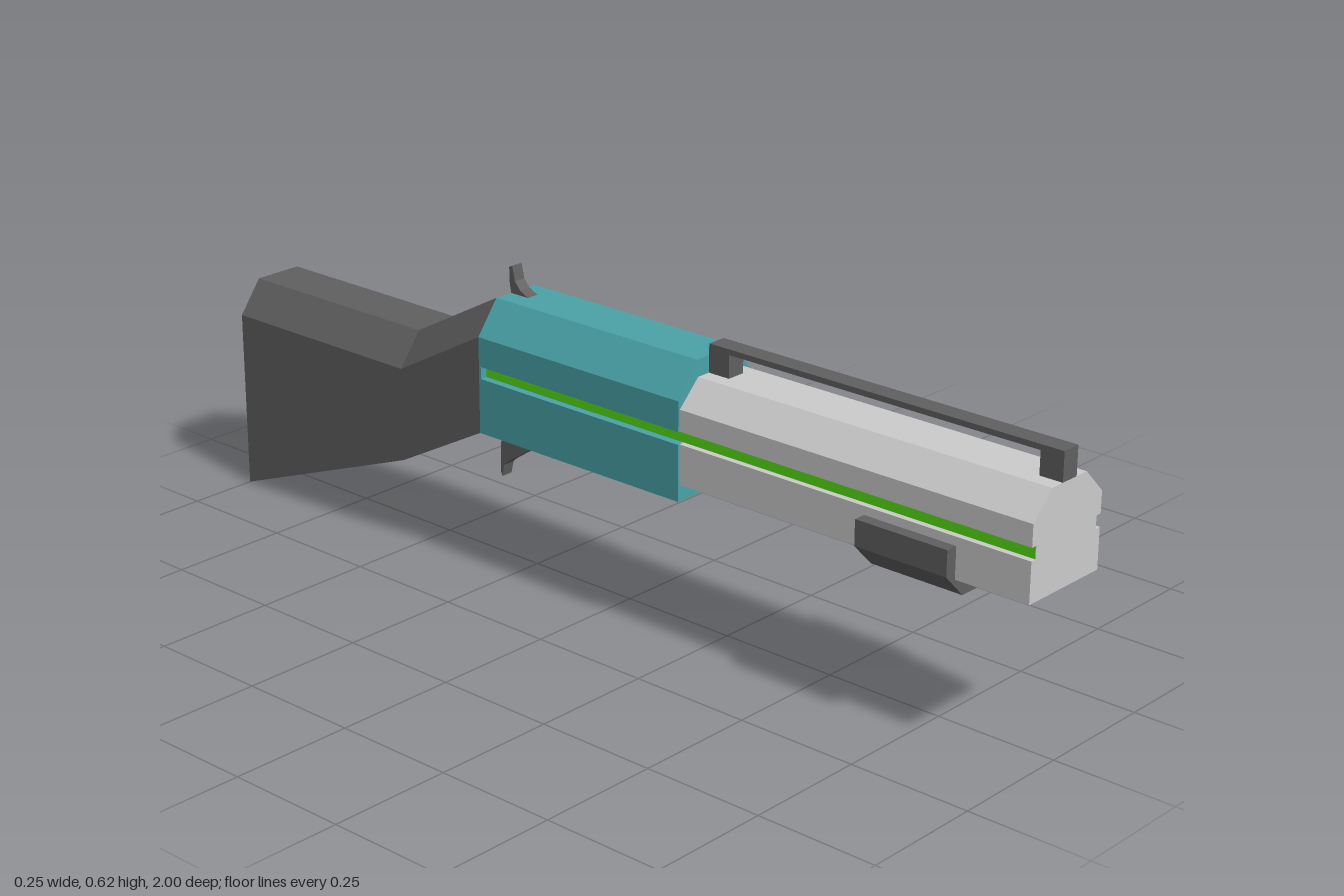
import * as THREE from 'three';

const material = (color) => new THREE.MeshStandardMaterial({ color, flatShading: true });

export function createModel() {
  const model = new THREE.Group();
  const grey = material(0xcccccc);
  const dark = material(0x606060);
  const teal = material(0x4aa3a8);
  const green = material(0x55e010);

  const add = (name, geometry, mat) => {
    const mesh = new THREE.Mesh(geometry, mat);
    mesh.name = name;
    model.add(mesh);
    return mesh;
  };
  const box = (name, mat, w, [y0, y1], [z0, z1], x = 0) =>
    add(name, new THREE.BoxGeometry(w, y1 - y0, z1 - z0), mat)
      .position.set(x, (y0 + y1) / 2, (z0 + z1) / 2);

  // Right half of a section, bottom to top, mirrored into a closed outline
  const mirrored = (half) => [...half, ...half.map(([x, y]) => [-x, y]).reverse()];
  const shapeOf = (points) => new THREE.Shape(points.map(([x, y]) => new THREE.Vector2(x, y)));

  // Section extruded along the length
  const alongZ = (name, mat, half, z0, z1) => {
    const geometry = new THREE.ExtrudeGeometry(shapeOf(mirrored(half)), { depth: z1 - z0, bevelEnabled: false });
    add(name, geometry.translate(0, 0, z0), mat);
  };

  // Side profile of [z, y] points extruded across the width
  const acrossX = (name, mat, profile, width) => {
    const geometry = new THREE.ExtrudeGeometry(shapeOf(profile.map(([z, y]) => [-z, y])), { depth: width, bevelEnabled: false });
    add(name, geometry.translate(0, 0, -width / 2).rotateY(Math.PI / 2), mat);
  };

  // Chamfered body section with a groove in each side
  const grooved = (w, topW, bottom, shoulder, top, floor) => [
    [w, bottom], [w, 0.41], [floor, 0.41], [floor, 0.435], [w, 0.435], [w, shoulder], [topW, top],
  ];

  // Barrel and receiver; the groove stops just short of the receiver's back
  alongZ('barrel', grey, grooved(0.1, 0.05, 0.33, 0.478, 0.528, 0.088), 0.21, 1);
  alongZ('receiver', teal, grooved(0.104, 0.053, 0.297, 0.495, 0.562, 0.088), -0.295, 0.215);
  alongZ('receiverBack', teal, [[0.104, 0.297], [0.104, 0.495], [0.053, 0.562]], -0.3, -0.295);

  // Bright strips lining the groove floors
  for (const side of [-1, 1]) {
    box(side > 0 ? 'leftStrip' : 'rightStrip', green, 0.004, [0.411, 0.434], [-0.295, 0.999], side * 0.087);
  }

  // Sighting rail on two posts
  box('rail', dark, 0.04, [0.574, 0.585], [0.215, 1]);
  box('frontRailPost', dark, 0.04, [0.527, 0.574], [0.952, 1]);
  box('rearRailPost', dark, 0.04, [0.527, 0.574], [0.215, 0.263]);

  // Fore grip wrapped under the barrel
  alongZ('foreGrip', dark, [[0.076, 0.293], [0.125, 0.342], [0.125, 0.393]], 0.645, 0.845);

  // Stock lofted through three sections: z, bottom, shoulder, top
  const rings = [
    [-0.3, 0.297, 0.495, 0.562],
    [-0.52, 0.18, 0.375, 0.443],
    [-1, 0, 0.375, 0.443],
  ].map(([z, bottom, shoulder, top]) =>
    mirrored([[0.104, bottom], [0.104, shoulder], [0.053, top]]).map(([x, y]) => [x, y, z]));
  const corners = [];
  const n = rings[0].length;
  for (let r = 0; r < rings.length - 1; r++) {
    for (let i = 0; i < n; i++) {
      const j = (i + 1) % n;
      const a = rings[r][i], b = rings[r][j], c = rings[r + 1][j], d = rings[r + 1][i];
      corners.push(...a, ...d, ...c, ...a, ...c, ...b);
    }
  }
  const [front, , back] = rings;
  for (let i = 1; i < n - 1; i++) {
    corners.push(...front[0], ...front[i], ...front[i + 1]);
    corners.push(...back[0], ...back[i + 1], ...back[i]);
  }
  const stock = new THREE.BufferGeometry();
  stock.setAttribute('position', new THREE.Float32BufferAttribute(corners, 3));
  stock.computeVertexNormals();
  add('stock', stock, dark);

  // Curved hammer and trigger
  acrossX('hammer', dark, [[-0.25, 0.56], [-0.275, 0.572], [-0.289, 0.588], [-0.296, 0.618],
    [-0.304, 0.614], [-0.303, 0.58], [-0.298, 0.555]], 0.026);
  acrossX('trigger', dark, [[-0.175, 0.299], [-0.315, 0.206], [-0.326, 0.196], [-0.332, 0.17],
    [-0.336, 0.18], [-0.334, 0.24], [-0.325, 0.3]], 0.026);

  return model;
}
